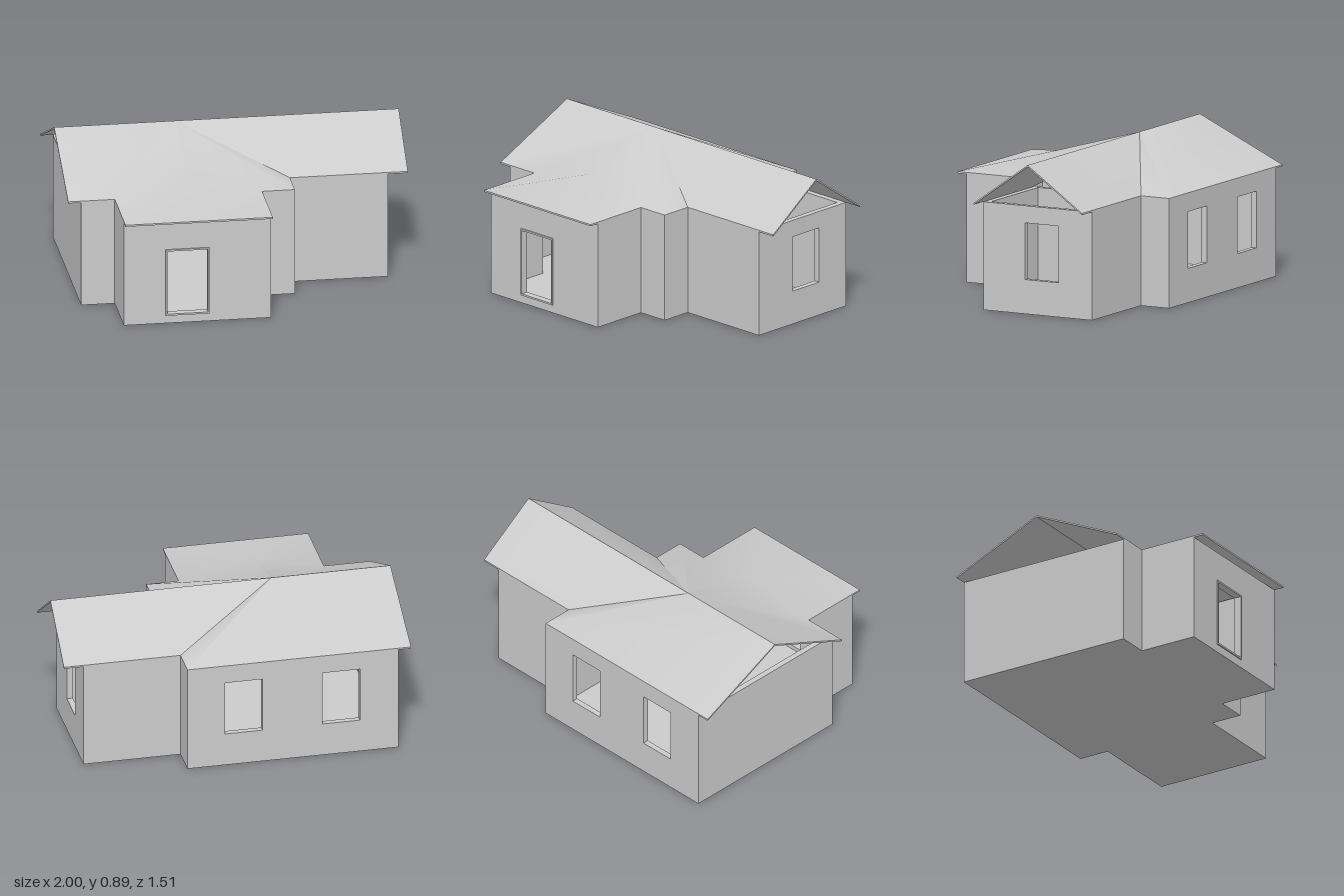
import * as THREE from 'three';
import { toCreasedNormals } from 'three/addons/utils/BufferGeometryUtils.js';

const material = new THREE.MeshStandardMaterial({ color: 0xcccccc });
const WALL_H = 0.63, WALL_T = 0.035, EAVE = 0.64, RIDGE = 0.89;

function addMesh(parent, name, geometry) {
  const mesh = new THREE.Mesh(geometry, material);
  mesh.name = name;
  parent.add(mesh);
  return mesh;
}

function rectPoints(u0, v0, u1, v1) {
  return [[u0, v0], [u1, v0], [u1, v1], [u0, v1]].map(([u, v]) => new THREE.Vector2(u, v));
}

// Upright panel with rectangular openings [u0, v0, u1, v1]
function panelGeometry(length, height, depth, openings) {
  const shape = new THREE.Shape(rectPoints(0, 0, length, height));
  openings.forEach(o => shape.holes.push(new THREE.Path(rectPoints(...o))));
  return new THREE.ExtrudeGeometry(shape, { depth, bevelEnabled: false });
}

// Rectangular door surround, width w and height h, centred on x
function doorFrame(w, h, depth) {
  const shape = new THREE.Shape(rectPoints(-w / 2, 0, w / 2, h));
  shape.holes.push(new THREE.Path(rectPoints(-w / 2 + 0.01, 0.01, w / 2 - 0.01, h - 0.01)));
  return new THREE.ExtrudeGeometry(shape, { depth, bevelEnabled: false });
}

// Plan of the outer wall faces as [x, z]
const plan = [
  [-0.925, -0.755], [0.315, -0.755], [0.315, -0.57], [0.885, -0.57],
  [0.885, 0.145], [0.315, 0.145], [0.315, 0.335], [0.125, 0.335],
  [0.125, 0.69], [-0.73, 0.69], [-0.73, 0.335], [-0.925, 0.335],
];

// Openings by wall index, measured along the wall from its start corner
const openings = {
  0: [[0.225, 0.2, 0.445, 0.53], [0.8, 0.2, 1.02, 0.53]],
  3: [[0.22, 0.2, 0.44, 0.53]],
  8: [[0.36, 0.05, 0.61, 0.45]],
};

function buildWalls() {
  const walls = new THREE.Group();
  walls.name = 'walls';
  const n = plan.length;
  const edge = i => {
    const a = plan[(i + n) % n], b = plan[(i + 1) % n];
    return [b[0] - a[0], b[1] - a[1]];
  };
  // +1 at an outside corner, -1 at an inside corner
  const turn = i => {
    const p = edge(i - 1), q = edge(i % n);
    return Math.sign(p[0] * q[1] - p[1] * q[0]);
  };
  plan.forEach(([x, z], i) => {
    const [dx, dz] = edge(i);
    const length = Math.hypot(dx, dz);
    const geometry = panelGeometry(length, WALL_H, WALL_T, openings[i] || []);
    // Mitre the inner face at both ends
    const pos = geometry.attributes.position;
    for (let k = 0; k < pos.count; k++) {
      if (pos.getZ(k) < WALL_T / 2) continue;
      const u = pos.getX(k);
      if (u < 1e-4) pos.setX(k, u + WALL_T * turn(i));
      else if (u > length - 1e-4) pos.setX(k, u - WALL_T * turn(i + 1));
    }
    geometry.computeVertexNormals();
    const wall = addMesh(walls, 'wall', geometry);
    wall.position.set(x, 0, z);
    wall.rotation.y = Math.atan2(-dz, dx);
  });
  return walls;
}

function buildFloor() {
  const shape = new THREE.Shape(plan.map(([x, z]) => new THREE.Vector2(x, -z)));
  const geometry = new THREE.ExtrudeGeometry(shape, { depth: 0.03, bevelEnabled: false });
  return geometry.rotateX(-Math.PI / 2);
}

function buildRoof() {
  // Points 0-13 run round the rim, 14 is the hip junction, 15 the front wing's peak
  const points = [
    [-1, EAVE, -0.755], [0.315, EAVE, -0.755], [0.315, EAVE, -0.57], [1, EAVE, -0.57],
    [1, RIDGE, -0.21], [1, EAVE, 0.145], [0.315, EAVE, 0.145], [0.315, EAVE, 0.335],
    [0.125, EAVE, 0.335], [0.125, EAVE, 0.75], [-0.73, EAVE, 0.75], [-0.73, EAVE, 0.335],
    [-1, EAVE, 0.335], [-1, RIDGE, -0.21], [-0.3, RIDGE, -0.21], [-0.3, 0.737, 0.33],
  ];
  const slopes = [
    [13, 14, 1, 0], [14, 2, 1], [14, 4, 3, 2],
    [14, 13, 12, 11], [14, 11, 15], [15, 11, 10], [15, 10, 9], [15, 9, 8],
    [14, 15, 8], [14, 8, 7], [14, 7, 6], [14, 6, 5, 4],
  ];
  const top = i => points[i];
  const under = i => [points[i][0], points[i][1] - 0.01, points[i][2]];
  const out = [];
  const face = corners => {
    for (let k = 1; k < corners.length - 1; k++) out.push(...corners[0], ...corners[k], ...corners[k + 1]);
  };
  slopes.forEach(s => {
    face(s.map(top));
    face(s.map(under).reverse());
  });
  for (let i = 0; i < 14; i++) {
    const j = (i + 1) % 14;
    face([top(i), top(j), under(j), under(i)]);
  }
  const geometry = new THREE.BufferGeometry();
  geometry.setAttribute('position', new THREE.Float32BufferAttribute(out, 3));
  return toCreasedNormals(geometry, 0.6);
}

export function createModel() {
  const house = new THREE.Group();
  house.name = 'house';
  house.add(buildWalls());
  addMesh(house, 'floor', buildFloor());
  addMesh(house, 'roof', buildRoof());

  // Front door surround, standing slightly proud of the wall
  addMesh(house, 'frontDoorFrame', doorFrame(0.255, 0.405, 0.045)).position.set(-0.3605, 0.048, 0.653);

  // Inner partition between the main room and the side wing
  const partition = addMesh(house, 'partition',
    panelGeometry(0.68, WALL_H - 0.03, WALL_T, [[0.24, 0.02, 0.485, 0.42]]));
  partition.position.set(0.315, 0.03, -0.555);
  partition.rotation.y = -Math.PI / 2;
  const innerFrame = addMesh(house, 'innerDoorFrame', doorFrame(0.255, 0.405, 0.045));
  innerFrame.position.set(0.275, 0.048, -0.1925);
  innerFrame.rotation.y = Math.PI / 2;
  return house;
}
